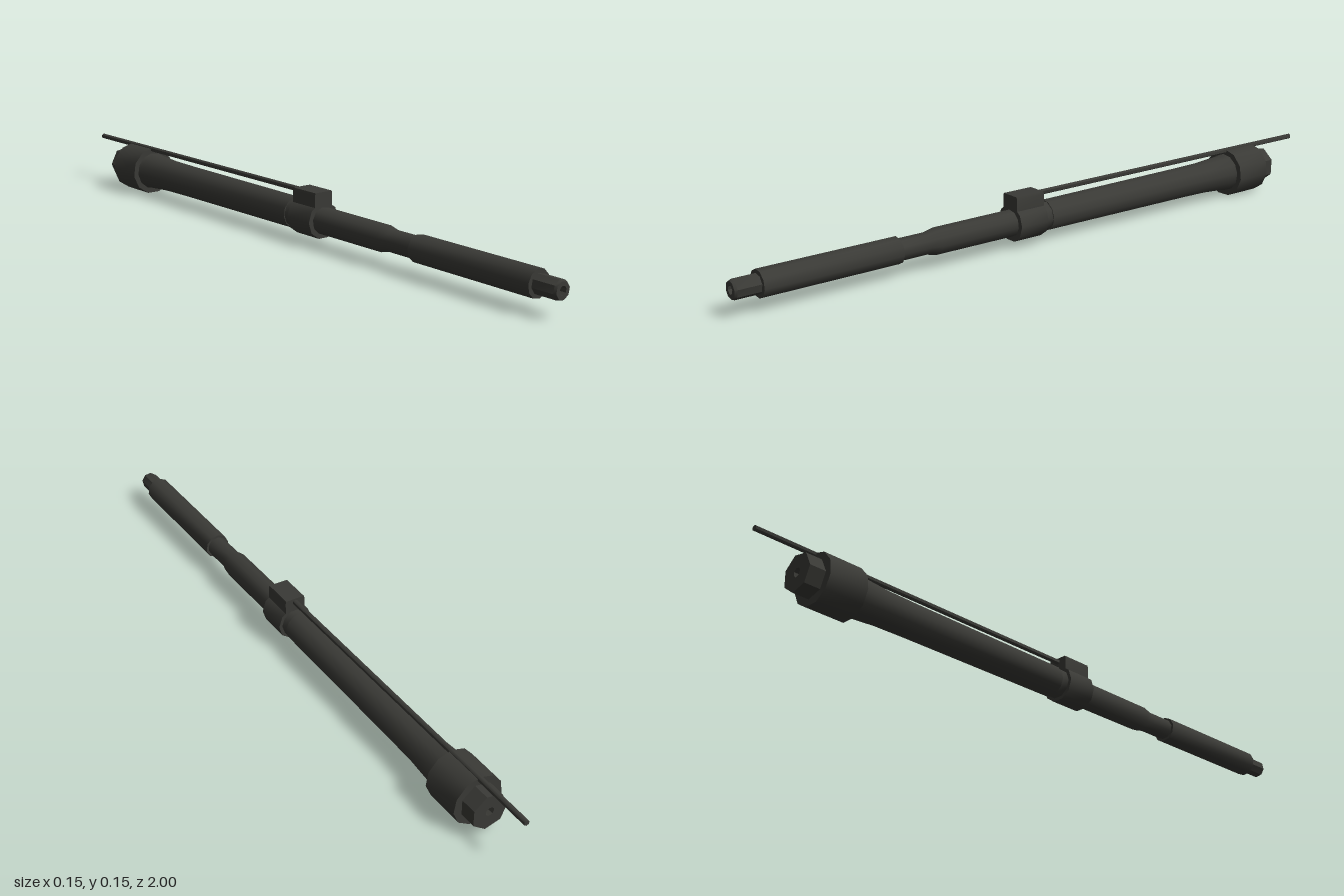
import * as THREE from 'three';
import { toCreasedNormals } from 'three/addons/utils/BufferGeometryUtils.js';

const AXIS_Y = 0.074;

export function createModel() {
  const group = new THREE.Group();
  const metal = new THREE.MeshStandardMaterial({ color: 0x3a3a36 });

  const add = (name, geometry, crease = 0.75) => {
    const mesh = new THREE.Mesh(toCreasedNormals(geometry, crease), metal);
    mesh.name = name;
    group.add(mesh);
    return mesh;
  };

  // Turned part along z; profile is [radius, z] from back to front
  const turned = (name, sides, profile, spin = 0) => {
    const points = profile.map(([r, z]) => new THREE.Vector2(r, z));
    const geometry = new THREE.LatheGeometry(points, sides, spin);
    geometry.rotateX(Math.PI / 2);
    geometry.translate(0, AXIS_Y, 0);
    return add(name, geometry);
  };

  // Rear shank, with a blind bore in its end
  turned('rearShank', 7, [
    [0, -0.82], [0.013, -0.82], [0.013, -0.868], [0.054, -0.868], [0.054, -0.8], [0, -0.8],
  ], 0.2);

  // Wide collar
  turned('collar', 11, [
    [0, -0.82], [0.074, -0.82], [0.074, -0.703], [0, -0.703],
  ], Math.PI / 11);

  // Thick rear tube, flaring towards the collar
  turned('rearTube', 12, [
    [0.059, -0.71], [0.055, -0.69], [0.049, -0.6], [0.0475, -0.5], [0.045, 0.025], [0, 0.025],
  ], 0.1);

  // Slim front tube with a waist
  turned('frontTube', 10, [
    [0, 0.01], [0.039, 0.01], [0.038, 0.4], [0.031, 0.43], [0.031, 0.52],
    [0.038, 0.52], [0.038, 0.927], [0, 0.927],
  ], 0.15);

  // Stepped tip with a blind bore
  turned('tip', 8, [
    [0.027, 0.92], [0.027, 0.993], [0.024, 1], [0.012, 1], [0.012, 0.94], [0, 0.94],
  ], 0.2);

  // Clamp ring around the tube, with a narrower rear lip
  turned('clampRing', 10, [
    [0, 0.02], [0.043, 0.02], [0.043, 0.05], [0.053, 0.05], [0.053, 0.145], [0, 0.145],
  ], Math.PI / 10);

  // Block on top of the clamp, with sides tapering into the ring
  const block = new THREE.Shape([
    [-0.031, 0.11], [0.031, 0.11], [0.031, 0.148], [0.029, 0.155], [-0.029, 0.155], [-0.031, 0.148],
  ].map(([x, y]) => new THREE.Vector2(x, y)));
  add('clampBlock', new THREE.ExtrudeGeometry(block, { depth: 0.095, bevelEnabled: false })
    .translate(0, 0, 0.05), 0.3);

  // Thin rod running back from the block
  const rod = new THREE.CylinderGeometry(0.008, 0.008, 1.07, 6);
  rod.rotateX(Math.PI / 2).translate(0, 0.144, -0.465);
  add('rod', rod, 1.1);

  return group;
}
